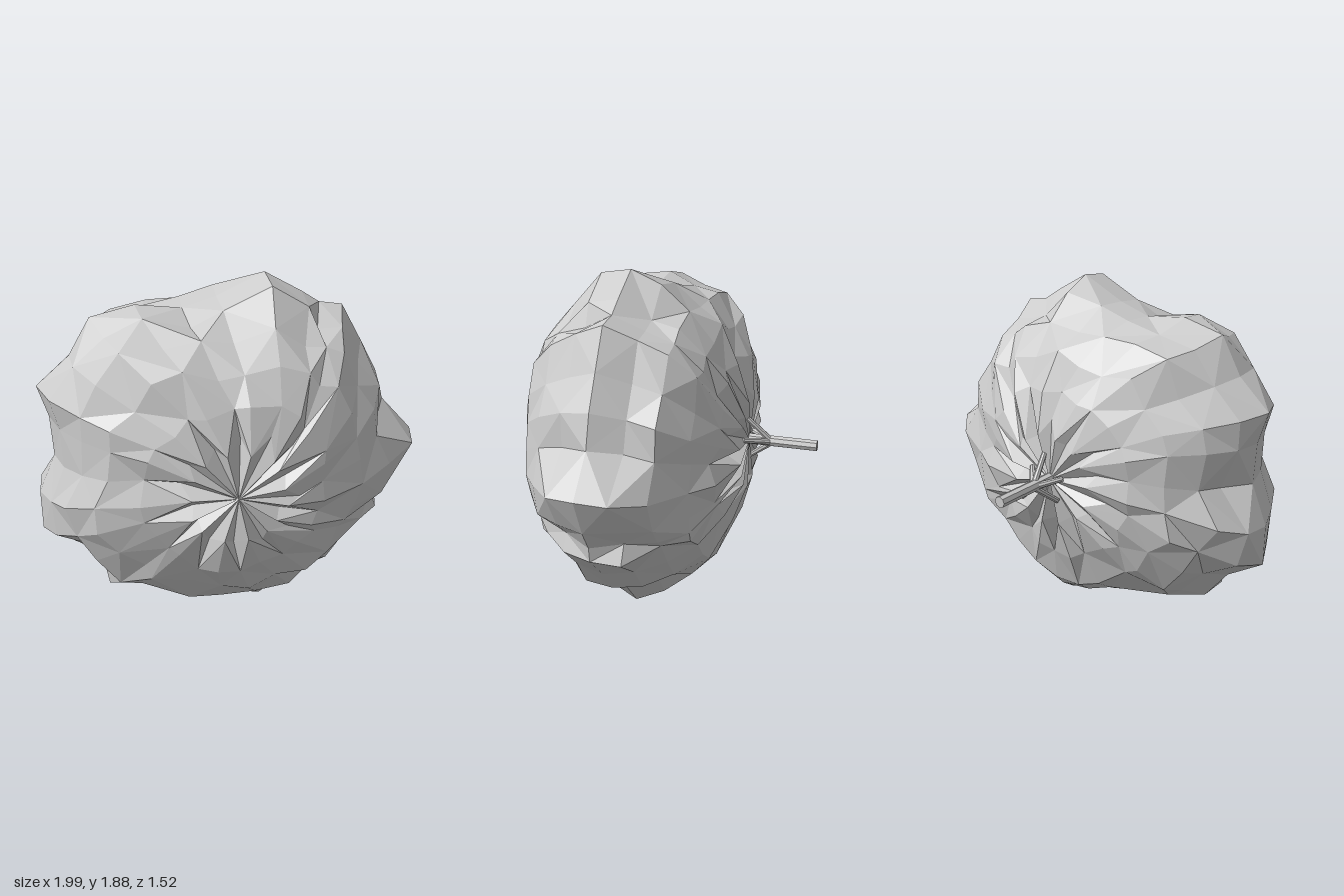
import * as THREE from 'three';

// Rim of the crown at its widest section, counter-clockwise: [x, y]
const RIM = [
  [0.99, 0.97], [0.82, 1.16], [0.77, 1.33], [0.68, 1.5], [0.57, 1.7], [0.45, 1.72],
  [0.36, 1.78], [0.17, 1.89], [-0.07, 1.78], [-0.24, 1.73], [-0.47, 1.76], [-0.69, 1.71],
  [-0.8, 1.52], [-0.97, 1.37], [-0.92, 1.2], [-0.91, 0.98], [-1, 0.77], [-1, 0.55],
  [-0.8, 0.42], [-0.67, 0.25], [-0.53, 0.25], [-0.25, 0.13], [-0.06, 0.06], [0.17, 0.01],
  [0.34, 0.19], [0.53, 0.28], [0.66, 0.43], [0.82, 0.58], [0.83, 0.66], [0.9, 0.77],
];
const CX = -0.06, CY = 0.965, CZ = 0.17, DEPTH = 0.605, RINGS = 12;

function seeded(seed) {
  return () => {
    seed = (seed * 16807) % 2147483647;
    return seed / 2147483647;
  };
}

// Lumpy flattened ball whose pleats run out from a dimple at each pole
function crownGeometry() {
  const rand = seeded(71);
  const n = RIM.length;
  const pos = [], index = [];
  for (let i = 0; i <= RINGS; i++) {
    const phi = (i / RINGS) * Math.PI;
    const s = Math.sin(phi), c = Math.cos(phi);
    const toPole = Math.min(i, RINGS - i);
    const jitter = toPole === RINGS / 2 ? 0 : 0.13;
    const front = c > 0;
    for (let j = 0; j < n; j++) {
      const dx = RIM[j][0] - CX, dy = RIM[j][1] - CY;
      const w = s * s;
      let r = s * (Math.hypot(dx, dy) * w + 0.96 * (1 - w)) * (1.03 - jitter * rand() - (jitter ? 0 : 0.03));
      let z = DEPTH * c;
      // Creases: every other column sinks in near the poles
      if (j % 2 && toPole === 1) {
        r *= 0.85 + 0.7 * rand();
        z -= Math.sign(c) * (0.03 + 0.05 * rand());
      }
      if (j % 2 && toPole === 2) z -= Math.sign(c) * 0.05 * rand();
      if (toPole === 0) { r = 0; z = (front ? 1 : -1) * 0.575; }
      const a = Math.atan2(dy, dx) - 0.35 * (1 - s) + (toPole < 3 ? (rand() - 0.5) * 0.08 : 0);
      pos.push(CX + r * Math.cos(a), CY + r * Math.sin(a), CZ + z);
    }
  }
  for (let i = 0; i < RINGS; i++) {
    for (let j = 0; j < n; j++) {
      const k = (j + 1) % n;
      const a = i * n + j, b = (i + 1) * n + j, c = (i + 1) * n + k, d = i * n + k;
      if (i === 0) index.push(a, b, c);
      else if (i === RINGS - 1) index.push(a, b, d);
      else if ((i + j) % 2) index.push(a, b, c, a, c, d);
      else index.push(a, b, d, b, c, d);
    }
  }
  const g = new THREE.BufferGeometry();
  g.setAttribute('position', new THREE.Float32BufferAttribute(pos, 3));
  g.setIndex(index);
  const flat = g.toNonIndexed();
  flat.computeVertexNormals();
  return flat;
}

export function createModel() {
  const group = new THREE.Group();
  const mat = new THREE.MeshStandardMaterial({ color: 0xcccccc, flatShading: true });

  const add = (name, geo) => {
    const m = new THREE.Mesh(geo, mat);
    m.name = name;
    group.add(m);
    return m;
  };
  // Straight rod between two points
  const rod = (name, from, to, r0, r1) => {
    const a = new THREE.Vector3(...from), b = new THREE.Vector3(...to);
    const dir = b.clone().sub(a);
    const m = add(name, new THREE.CylinderGeometry(r1, r0, dir.length(), 8));
    m.position.copy(a).add(b).multiplyScalar(0.5);
    m.quaternion.setFromUnitVectors(new THREE.Vector3(0, 1, 0), dir.normalize());
  };

  add('crown', crownGeometry());

  // Trunk behind the crown
  rod('trunk', [CX, CY + 0.005, -0.77], [CX, CY + 0.005, -0.38], 0.03, 0.03);

  // Branches forking from the trunk into the crown
  const tips = [[0.1, 0.03], [0.03, 0.11], [-0.07, 0.02], [-0.04, -0.09]];
  tips.forEach(([x, y], i) =>
    rod(`branch${i + 1}`, [CX, CY, -0.53], [CX + x * 1.2, CY + y * 1.2, -0.4], 0.018, 0.014));

  return group;
}
